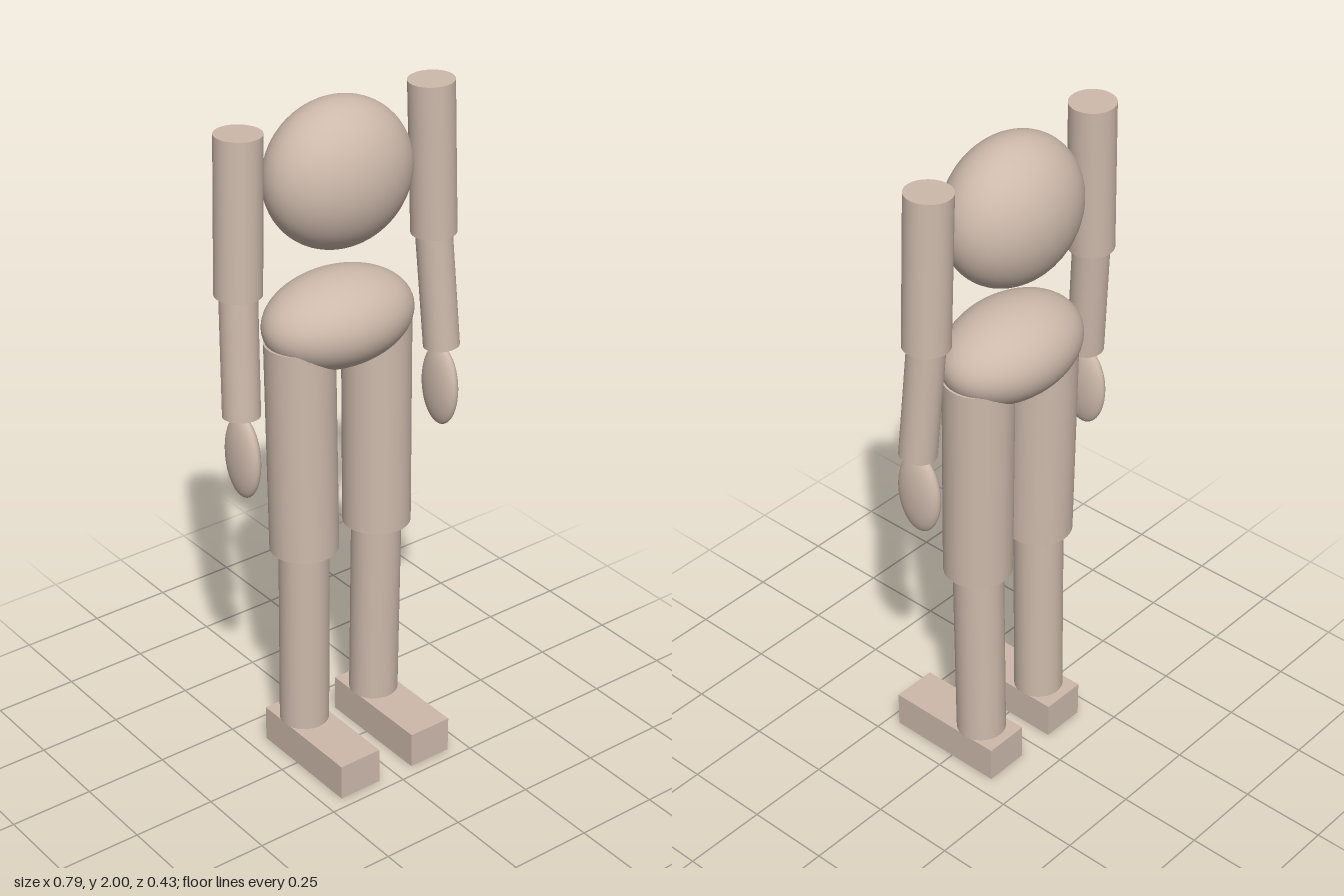
import * as THREE from 'three';

export function createModel() {
  const model = new THREE.Group();
  const skin = new THREE.MeshStandardMaterial({ color: 0xcdb9ab });
  skin.name = 'skin';

  const add = (name, geometry, position) => {
    const mesh = new THREE.Mesh(geometry, skin);
    mesh.name = name;
    mesh.position.set(...position);
    model.add(mesh);
    return mesh;
  };

  const ellipsoid = (name, position, radii) =>
    add(name, new THREE.SphereGeometry(1, 48, 32).scale(...radii), position);

  // Capped cylinder running from its lower joint to its upper joint
  const limb = (name, bottom, top, radius) => {
    const a = new THREE.Vector3(...bottom);
    const axis = new THREE.Vector3(...top).sub(a);
    const geometry = new THREE.CylinderGeometry(radius, radius, axis.length(), 40);
    const mesh = add(name, geometry, a.addScaledVector(axis, 0.5).toArray());
    mesh.quaternion.setFromUnitVectors(new THREE.Vector3(0, 1, 0), axis.normalize());
  };

  // Head and pelvis
  ellipsoid('head', [0, 1.792, -0.055], [0.22, 0.208, 0.16]);
  ellipsoid('pelvis', [0, 1.371, -0.055], [0.231, 0.134, 0.16]);

  // Arms and legs, mirrored
  for (const [side, s] of [['left', 1], ['right', -1]]) {
    limb(side + 'UpperArm', [s * 0.327, 1.533, -0.053], [s * 0.313, 1.977, -0.057], 0.065);
    limb(side + 'Forearm', [s * 0.342, 1.189, -0.029], [s * 0.327, 1.533, -0.053], 0.052);
    ellipsoid(side + 'Hand', [s * 0.34, 1.063, -0.03], [0.032, 0.124, 0.072]);
    limb(side + 'Thigh', [s * 0.128, 0.694, -0.046], [s * 0.131, 1.335, -0.054], 0.098);
    limb(side + 'Shin', [s * 0.127, 0.11, -0.055], [s * 0.128, 0.696, -0.047], 0.072);
    add(side + 'Foot', new THREE.BoxGeometry(0.136, 0.11, 0.368), [s * 0.127, 0.055, 0.03]);
  }

  return model;
}
